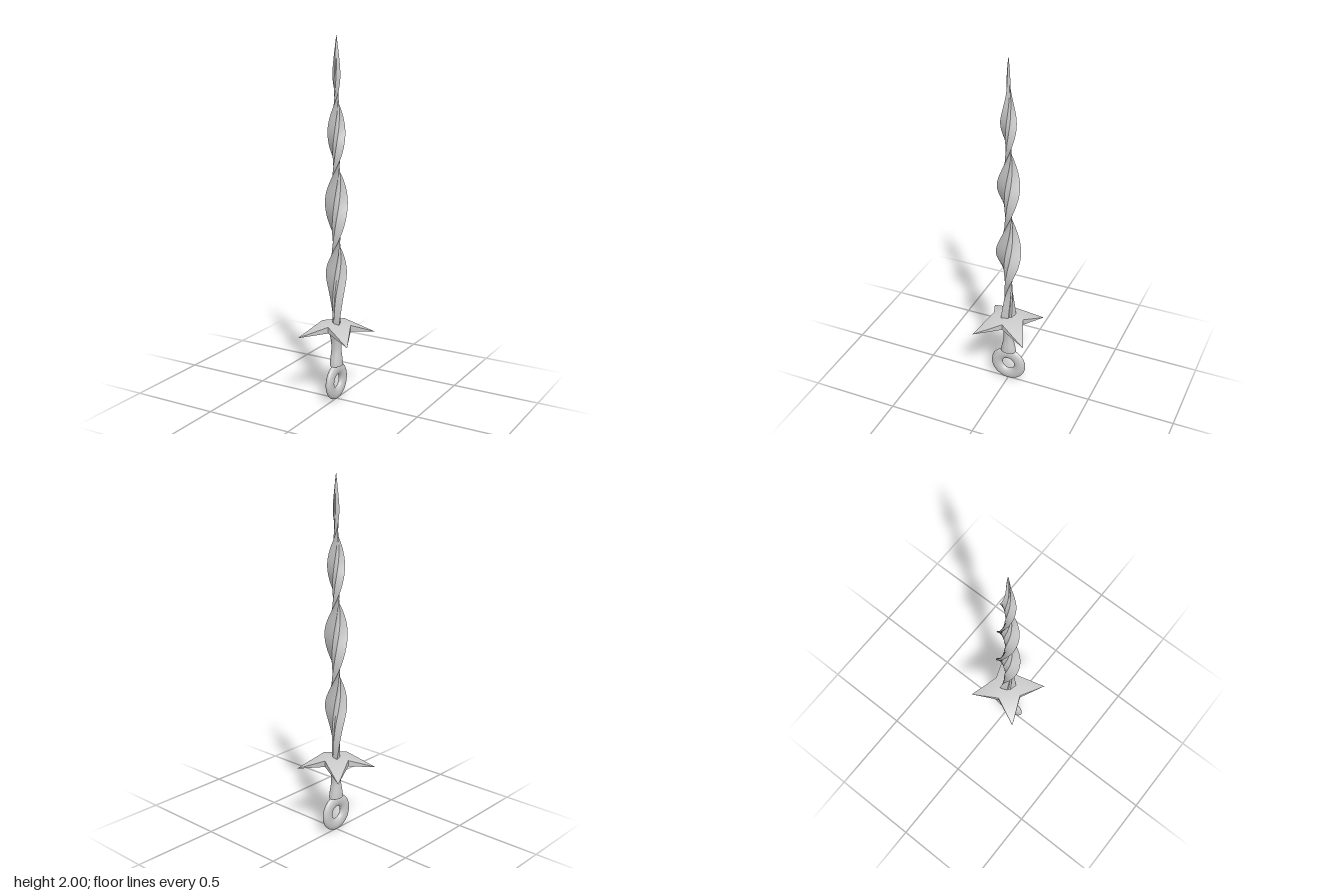
import * as THREE from 'three';
import { toCreasedNormals } from 'three/addons/utils/BufferGeometryUtils.js';

const material = new THREE.MeshStandardMaterial({ color: 0xcccccc });

function addPart(group, name, geometry) {
  const mesh = new THREE.Mesh(geometry, material);
  mesh.name = name;
  group.add(mesh);
  return mesh;
}

// Blade stations: height, twist in degrees, half width, half thickness
const STATIONS = [
  [0.42, -138, 0.048, 0.02], [0.61, -90, 0.046, 0.02], [0.83, 0, 0.069, 0.02],
  [1.04, 90, 0.06, 0.018], [1.25, 180, 0.063, 0.017], [1.44, 270, 0.049, 0.015],
  [1.62, 360, 0.044, 0.012], [1.73, 415, 0.034, 0.01], [1.83, 448, 0.023, 0.009],
  [1.92, 450, 0.012, 0.007], [2.0, 450, 0.0005, 0.0005],
];

// Cross-section corners: along the width, along the thickness (shallow central groove)
const SECTION = [
  [1, 0], [0.22, 1], [0, 0.8], [-0.22, 1], [-1, 0], [-0.22, -1], [0, -0.8], [0.22, -1],
];

// Twisted blade: one strip per side, so edges stay crisp and each strip is smooth lengthwise
function bladeGeometry(rows = 150) {
  const track = (c) => new THREE.SplineCurve(STATIONS.map((s) => new THREE.Vector2(s[0], s[c])));
  const [twist, width, thick] = [1, 2, 3].map(track);
  const positions = [], indices = [];
  const n = SECTION.length;
  for (let i = 0; i < n; i++) {
    const base = positions.length / 3;
    for (let j = 0; j <= rows; j++) {
      const t = j / rows;
      const { x: y, y: degrees } = twist.getPoint(t);
      const a = THREE.MathUtils.degToRad(degrees);
      const w = width.getPoint(t).y, h = thick.getPoint(t).y;
      for (const [u, v] of [SECTION[i], SECTION[(i + 1) % n]]) {
        positions.push(
          Math.sin(a) * u * w + Math.cos(a) * v * h,
          y,
          Math.cos(a) * u * w - Math.sin(a) * v * h,
        );
      }
      if (j < rows) {
        const k = base + j * 2;
        indices.push(k, k + 1, k + 3, k, k + 3, k + 2);
      }
    }
  }
  const g = new THREE.BufferGeometry();
  g.setAttribute('position', new THREE.Float32BufferAttribute(positions, 3));
  g.setIndex(indices);
  g.computeVertexNormals();
  return g;
}

// Four-pointed star guard with drooping tips
function guardGeometry() {
  const positions = [];
  const tri = (...points) => points.forEach((p) => positions.push(...p));
  const polar = (r, y, k) => {
    const a = (k * Math.PI) / 4;
    return [r * Math.cos(a), y, -r * Math.sin(a)];
  };
  const topCentre = [0, 0.445, 0], bottomCentre = [0, 0.41, 0];
  for (let k = 0; k < 8; k += 2) {
    const topA = polar(0.09, 0.445, k), topB = polar(0.09, 0.445, k + 2);
    const lowA = polar(0.09, 0.41, k), lowB = polar(0.09, 0.41, k + 2);
    const tip = polar(0.219, 0.375, k + 1);
    tri(topCentre, topA, topB);
    tri(topA, tip, topB);
    tri(lowA, tip, topA);
    tri(tip, lowB, topB);
    tri(bottomCentre, tip, lowA);
    tri(bottomCentre, lowB, tip);
  }
  const g = new THREE.BufferGeometry();
  g.setAttribute('position', new THREE.Float32BufferAttribute(positions, 3));
  return toCreasedNormals(g, 0.7);
}

// Waisted grip whose foot widens front to back to meet the ring
function gripGeometry() {
  const curve = new THREE.SplineCurve([
    [0.034, 0.2], [0.033, 0.23], [0.028, 0.29], [0.03, 0.34], [0.038, 0.385], [0.04, 0.42],
  ].map(([r, y]) => new THREE.Vector2(r, y)));
  const profile = [new THREE.Vector2(0, 0.2), ...curve.getPoints(24)];
  const g = new THREE.LatheGeometry(profile, 32);
  const p = g.attributes.position;
  for (let i = 0; i < p.count; i++) {
    const flare = THREE.MathUtils.clamp((0.29 - p.getY(i)) / 0.09, 0, 1);
    p.setZ(i, p.getZ(i) * (1 + 0.32 * flare));
  }
  return toCreasedNormals(g, 0.8);
}

export function createModel() {
  const group = new THREE.Group();
  group.name = 'twistedDagger';

  addPart(group, 'blade', bladeGeometry());
  addPart(group, 'guard', guardGeometry());
  addPart(group, 'grip', gripGeometry());

  // Flattened pommel ring, its hole facing sideways
  const ring = new THREE.TorusGeometry(0.071, 0.034, 20, 48);
  ring.rotateY(Math.PI / 2);
  ring.scale(0.56, 1, 1);
  addPart(group, 'pommelRing', ring).position.y = 0.105;

  return group;
}
